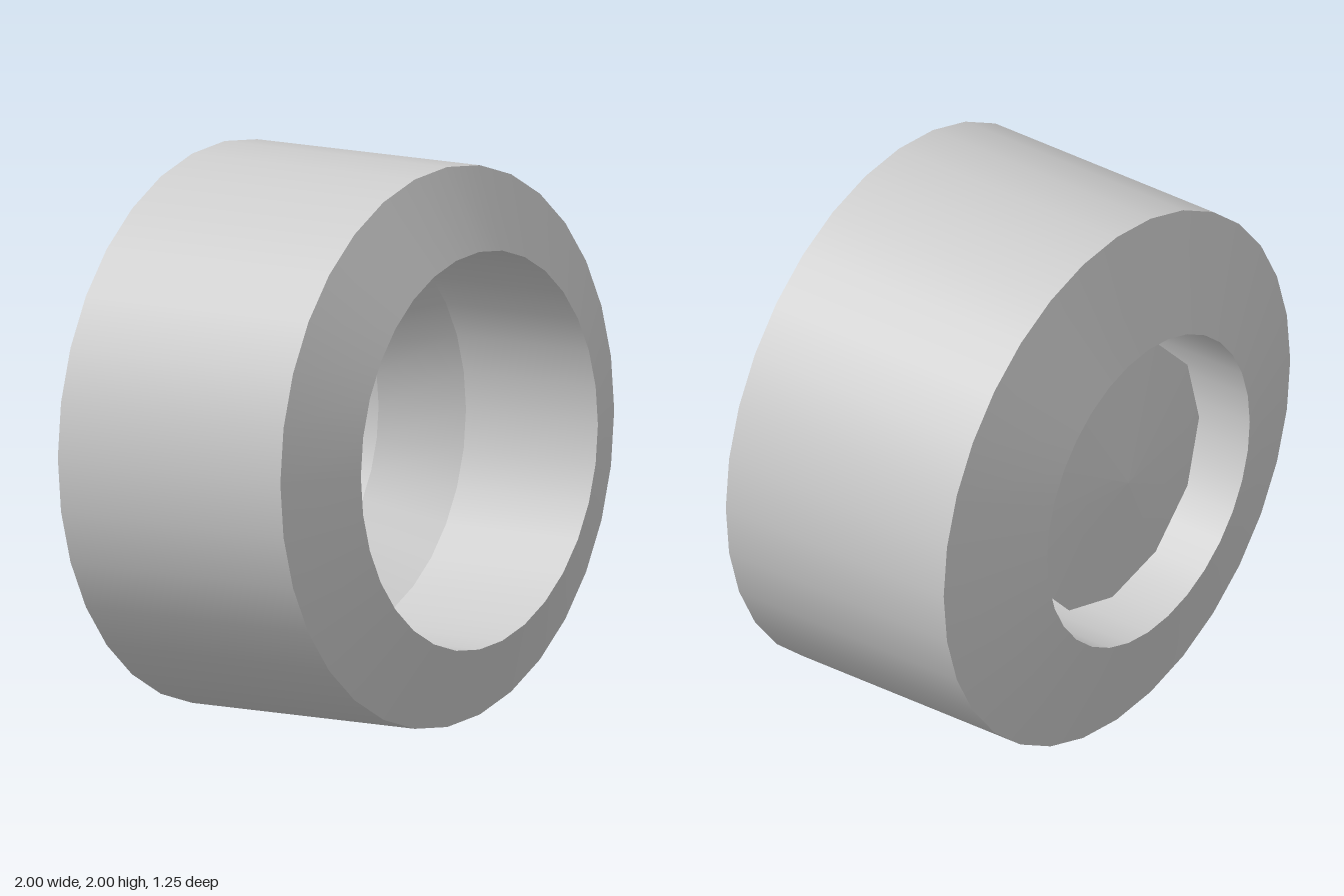
import * as THREE from 'three';

// Closed tyre cross-section as [radius, z], running counter-clockwise
const PROFILE = [
  [0.585, -0.625], [1, -0.485], [1, 0.485], [0.71, 0.625], // outside
  [0.71, 0.05], [0.585, -0.24],                            // bore
];
const BANDS = ['rearBevel', 'tread', 'frontBevel', 'frontBore', 'boreTaper', 'rearBore'];

export function createModel() {
  const grey = new THREE.MeshStandardMaterial({ color: 0xcccccc });
  grey.name = 'light grey';
  const wheel = new THREE.Group();
  wheel.name = 'wheel';

  // Tyre: one smooth band per profile segment, so the rims stay sharp
  const tyre = new THREE.Group();
  tyre.name = 'tyre';
  BANDS.forEach((name, i) => {
    const ends = [PROFILE[i], PROFILE[(i + 1) % PROFILE.length]];
    const band = new THREE.Mesh(
      new THREE.LatheGeometry(ends.map(([r, z]) => new THREE.Vector2(r, z)), 32), grey);
    band.name = name;
    tyre.add(band);
  });
  tyre.rotation.x = Math.PI / 2;
  tyre.position.y = 1;
  wheel.add(tyre);

  // Hub: shallow twelve-sided cone, flat side to the front
  const hub = new THREE.Mesh(new THREE.ConeGeometry(0.5, 0.07, 12), grey);
  hub.name = 'hub';
  hub.rotation.x = -Math.PI / 2;
  hub.position.set(0, 1, -0.5);
  wheel.add(hub);

  return wheel;
}
